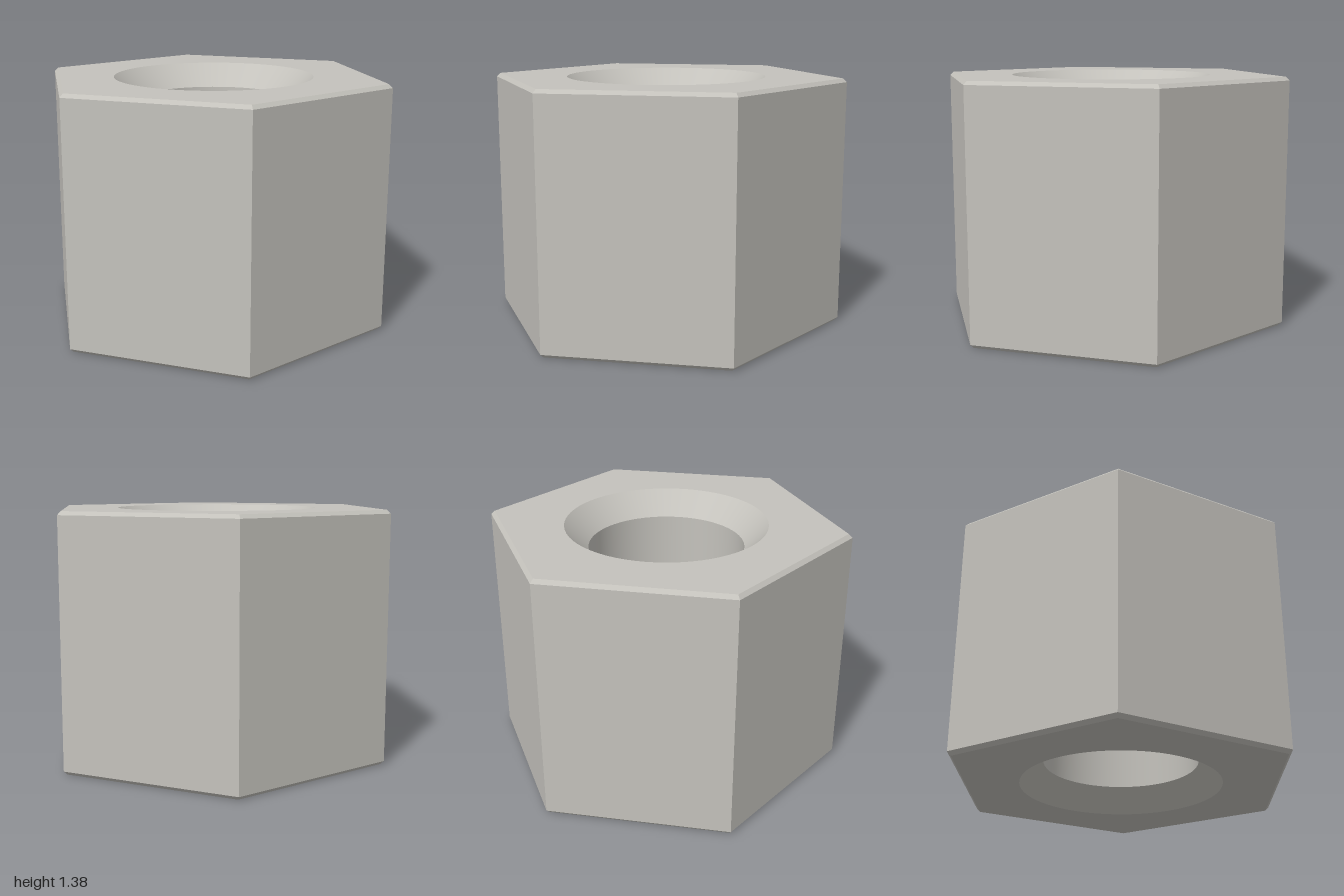
import * as THREE from 'three';

const HEIGHT = 1.385, RADIUS = 1, BEVEL = 0.02, INSET = 0.0216;
const BORE = 0.428, SINK = 0.555, SINK_DEPTH = 0.13;
const SEGMENTS = 64;

export function createModel() {
  const steel = new THREE.MeshStandardMaterial({ color: 0xc4c2bc });
  steel.name = 'warm grey steel';
  const nut = new THREE.Group();
  nut.name = 'hexSleeve';

  const add = (name, geometry) => {
    const mesh = new THREE.Mesh(geometry, steel);
    mesh.name = name;
    nut.add(mesh);
    return mesh;
  };
  // Surface of revolution; a downward profile faces the axis
  const lathe = (profile, sides) =>
    new THREE.LatheGeometry(profile.map(([r, y]) => new THREE.Vector2(r, y)), sides);

  // Six flat sides with a small bevel at both ends, corners on the x axis
  const rim = RADIUS - INSET;
  const sides = lathe([
    [rim, 0], [RADIUS, BEVEL], [RADIUS, HEIGHT - BEVEL], [rim, HEIGHT],
  ], 6).rotateY(Math.PI / 2).toNonIndexed();
  sides.computeVertexNormals();
  add('hexSides', sides);

  // Hexagonal end faces around the countersunk hole
  const face = new THREE.Shape(Array.from({ length: 6 }, (_, i) =>
    new THREE.Vector2(rim * Math.cos(i * Math.PI / 3), rim * Math.sin(i * Math.PI / 3))));
  face.holes.push(new THREE.Path().absarc(0, 0, SINK, 0, Math.PI * 2, true));
  const end = new THREE.ShapeGeometry(face, SEGMENTS / 2);
  add('topFace', end.clone().rotateX(-Math.PI / 2).translate(0, HEIGHT, 0));
  add('bottomFace', end.clone().rotateX(Math.PI / 2));

  // Countersinks and straight bore, separate so their edges stay sharp
  const upper = HEIGHT - SINK_DEPTH;
  add('topCountersink', lathe([[SINK, HEIGHT], [BORE, upper]], SEGMENTS));
  add('bore', lathe([[BORE, upper], [BORE, SINK_DEPTH]], SEGMENTS));
  add('bottomCountersink', lathe([[BORE, SINK_DEPTH], [SINK, 0]], SEGMENTS));

  return nut;
}
